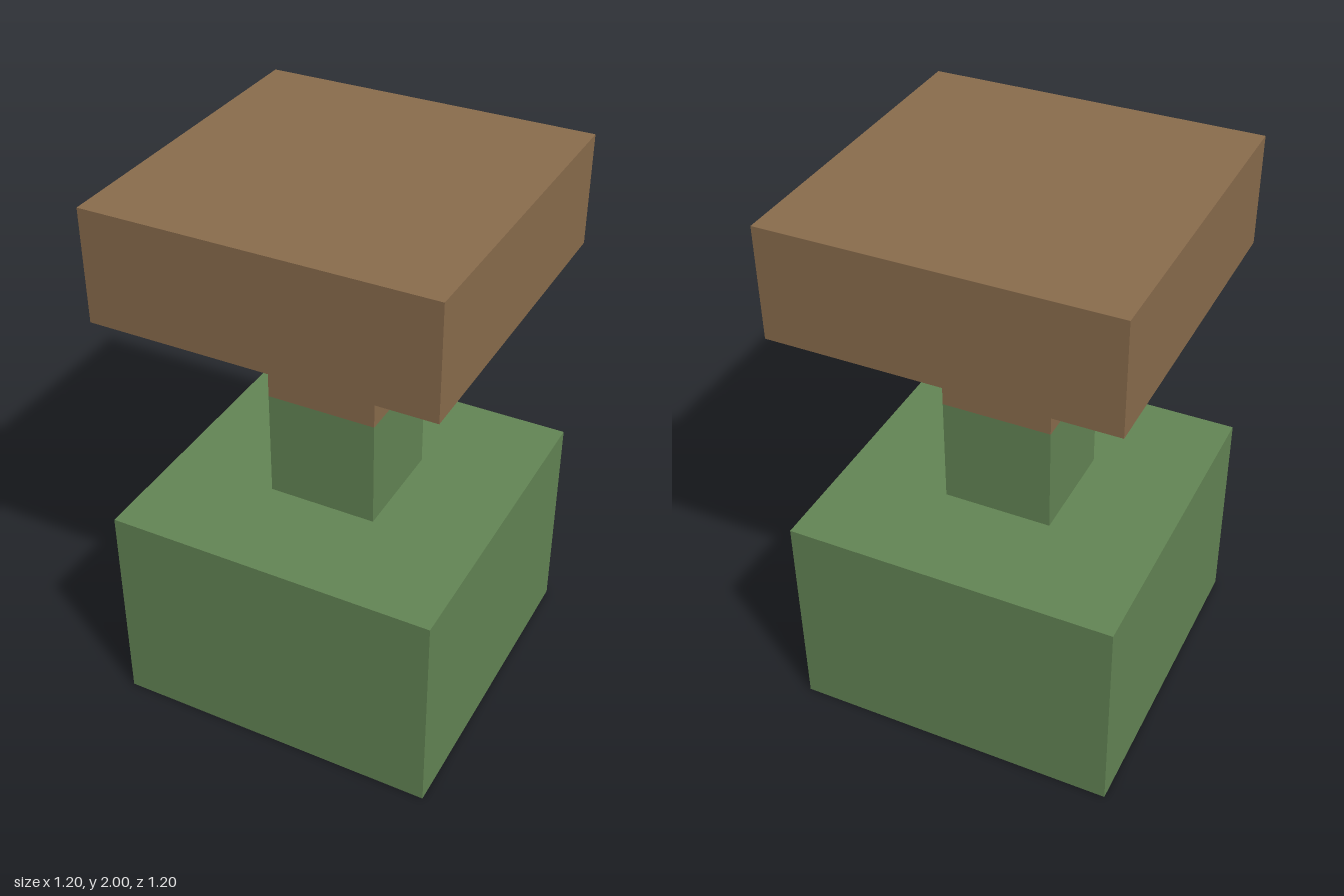
import * as THREE from 'three';

export function createModel() {
  const model = new THREE.Group();
  const green = new THREE.MeshStandardMaterial({ color: 0x648655 });
  green.name = 'green';
  const brown = new THREE.MeshStandardMaterial({ color: 0x8b6d4d });
  brown.name = 'brown';

  // Square block standing between two heights
  function addBlock(name, width, bottom, top, material) {
    const mesh = new THREE.Mesh(new THREE.BoxGeometry(width, top - bottom, width), material);
    mesh.name = name;
    mesh.position.y = (bottom + top) / 2;
    model.add(mesh);
  }

  addBlock('base', 1.2, 0, 0.8, green);
  addBlock('lowerPost', 0.4, 0.8, 1.2, green);
  addBlock('upperPost', 0.4, 1.2, 1.6, brown);
  addBlock('topSlab', 1.2, 1.6, 2, brown);

  return model;
}
